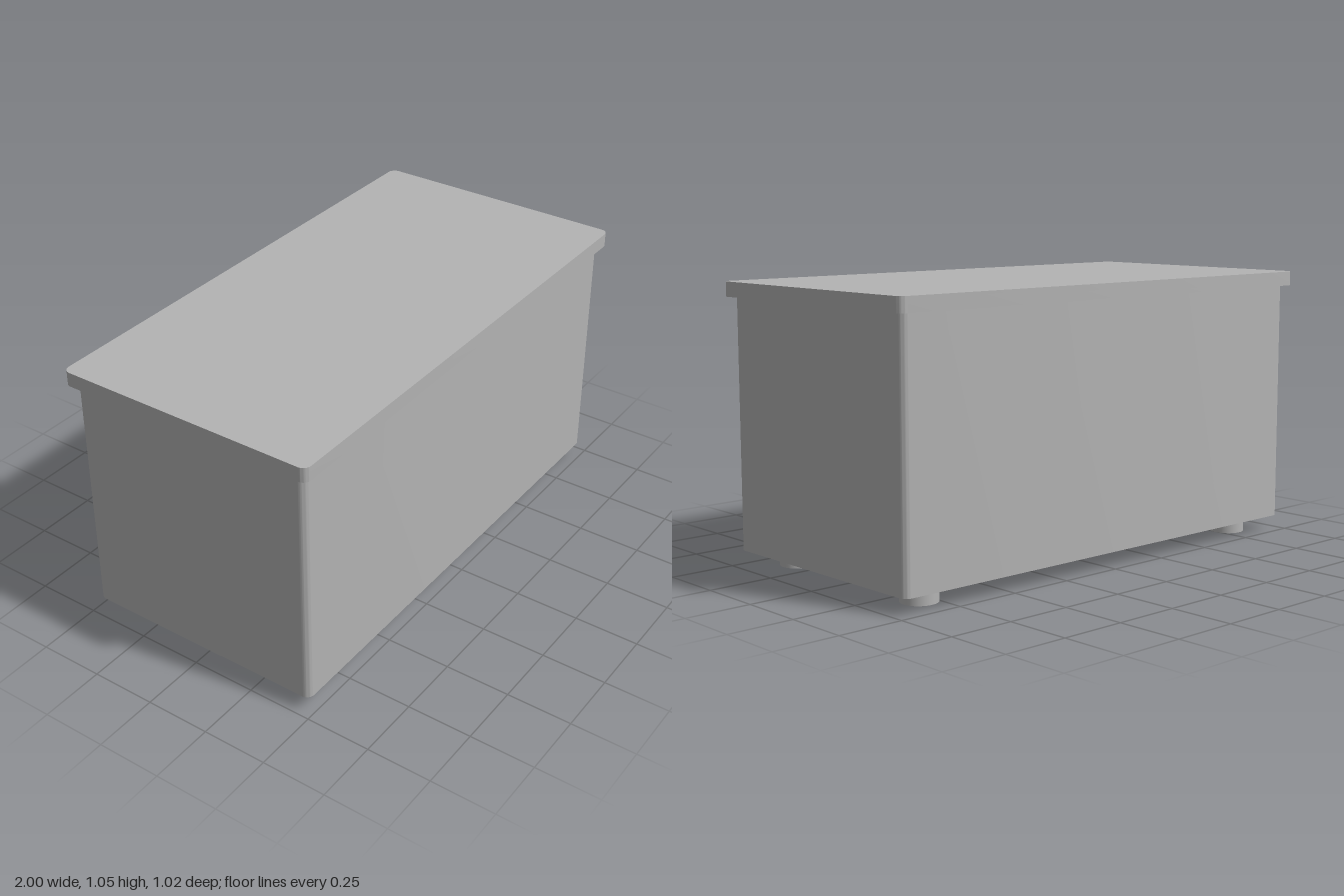
import * as THREE from 'three';
import { toCreasedNormals } from 'three/addons/utils/BufferGeometryUtils.js';

// Upright slab with rounded vertical corners, standing on y = 0
function roundedSlab(w, d, h, r) {
  const x = w / 2, z = d / 2;
  const s = new THREE.Shape();
  s.absarc(x - r, z - r, r, 0, Math.PI / 2);
  s.absarc(-x + r, z - r, r, Math.PI / 2, Math.PI);
  s.absarc(-x + r, -z + r, r, Math.PI, Math.PI * 1.5);
  s.absarc(x - r, -z + r, r, Math.PI * 1.5, Math.PI * 2);
  const g = new THREE.ExtrudeGeometry(s, { depth: h, bevelEnabled: false, curveSegments: 8 });
  g.rotateX(-Math.PI / 2);
  return toCreasedNormals(g, Math.PI / 6);
}

export function createModel() {
  const model = new THREE.Group();
  model.name = 'storageBox';
  const grey = new THREE.MeshStandardMaterial({ color: 0xb3b3b3 });
  grey.name = 'grey';

  const add = (name, geometry, x, y, z) => {
    const mesh = new THREE.Mesh(geometry, grey);
    mesh.name = name;
    mesh.position.set(x, y, z);
    model.add(mesh);
  };

  // Box body and overhanging lid
  add('body', roundedSlab(1.944, 0.97, 0.935, 0.03), 0, 0.06, 0);
  add('lid', roundedSlab(2, 1.024, 0.055, 0.03), 0, 0.995, 0);

  // Four round feet, set just below the body
  const foot = new THREE.CylinderGeometry(0.068, 0.068, 0.05, 32);
  for (const [sx, side] of [[1, 'Left'], [-1, 'Right']]) {
    for (const [sz, end] of [[1, 'front'], [-1, 'back']]) {
      add(`${end}${side}Foot`, foot, sx * 0.806, 0.025, sz * 0.353);
    }
  }
  return model;
}
